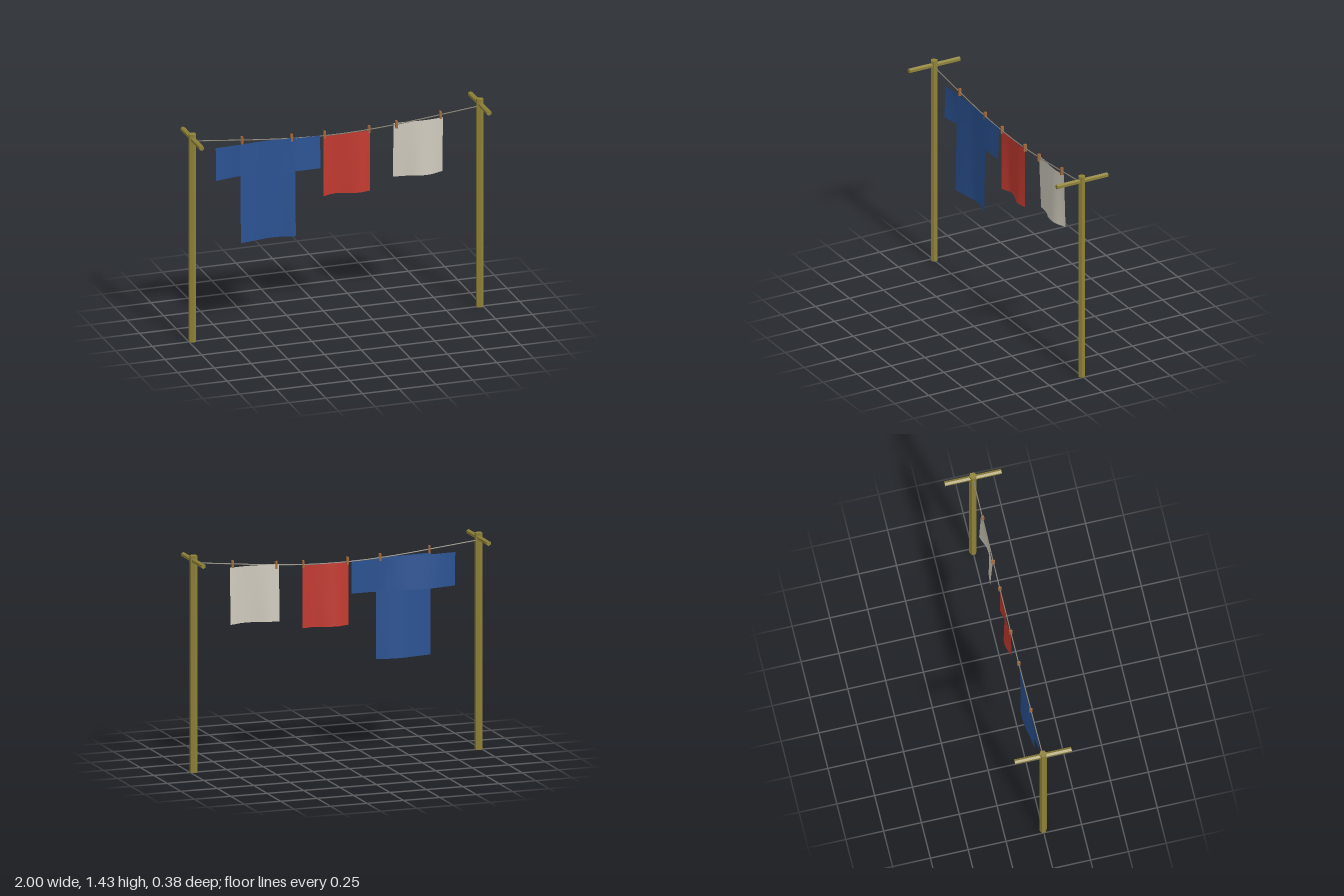
import * as THREE from 'three';

const mat = (color, extra = {}) => new THREE.MeshStandardMaterial({ color, ...extra });

function add(parent, name, geometry, material, x = 0, y = 0, z = 0) {
  const mesh = new THREE.Mesh(geometry, material);
  mesh.name = name;
  mesh.position.set(x, y, z);
  parent.add(mesh);
}

// Hanging sheet: a plane whose folds follow a row of z offsets and deepen downwards
function clothGeometry(x0, x1, y0, y1, folds) {
  const w = x1 - x0, h = y1 - y0;
  const curve = new THREE.SplineCurve(folds.map((z, i) => new THREE.Vector2(i, z)));
  const geo = new THREE.PlaneGeometry(w, h, 12, 8);
  const p = geo.attributes.position;
  for (let i = 0; i < p.count; i++) {
    const u = THREE.MathUtils.clamp(p.getX(i) / w + 0.5, 0, 1);
    const v = 0.5 - p.getY(i) / h;
    p.setZ(i, curve.getPoint(u).y * (0.35 + 0.65 * v));
  }
  geo.translate((x0 + x1) / 2, (y0 + y1) / 2, 0);
  geo.computeVertexNormals();
  return geo;
}

export function createModel() {
  const model = new THREE.Group();
  model.name = 'clothesline';

  const wood = mat(0x8f8238, { flatShading: true });
  const ropeMat = mat(0x8c8578);
  const pinMat = mat(0xa0683c);
  const cloth = (color) => mat(color, { side: THREE.DoubleSide });

  // Posts with crossbars
  for (const side of [-1, 1]) {
    const post = new THREE.Group();
    post.name = side > 0 ? 'leftPost' : 'rightPost';
    post.position.x = side * 0.978;
    add(post, 'pole', new THREE.CylinderGeometry(0.025, 0.025, 1.43, 6), wood, 0, 0.715);
    const bar = new THREE.CylinderGeometry(0.017, 0.017, 0.375, 6).rotateX(Math.PI / 2);
    add(post, 'crossbar', bar, wood, 0, 1.396);
    model.add(post);
  }

  // Sagging rope
  const ropePath = new THREE.CatmullRomCurve3(
    [[-0.978, 1.38], [-0.33, 1.317], [0, 1.305], [0.33, 1.317], [0.978, 1.38]]
      .map(([x, y]) => new THREE.Vector3(x, y, 0)));
  add(model, 'rope', new THREE.TubeGeometry(ropePath, 24, 0.004, 5), ropeMat);

  // Shirt: a wide sleeve sheet behind a long body sheet
  const shirt = new THREE.Group();
  shirt.name = 'shirt';
  const blue = cloth(0x2a5292);
  add(shirt, 'sleeves', clothGeometry(-0.82, -0.11, 1.09, 1.312,
    [0.012, -0.012, -0.025, -0.018, 0.005, 0.015, 0.013]), blue);
  add(shirt, 'body', clothGeometry(-0.655, -0.28, 0.645, 1.32,
    [0.018, 0.005, -0.012, -0.01, 0.015]), blue, 0, 0, 0.004);
  model.add(shirt);

  // Towel and pale cloth
  add(model, 'redTowel', clothGeometry(-0.085, 0.23, 0.89, 1.305,
    [0.002, -0.025, -0.01, 0.016, 0.003]), cloth(0xc23a30));
  add(model, 'paleCloth', clothGeometry(0.395, 0.73, 0.955, 1.33,
    [-0.024, -0.015, 0.012, 0.012, -0.018]), cloth(0xcfcabd));

  // Clothes pins
  const pinGeo = new THREE.BoxGeometry(0.012, 0.05, 0.02);
  const pins = [[-0.64, 1.344], [-0.302, 1.32], [-0.078, 1.313], [0.225, 1.313], [0.411, 1.323], [0.711, 1.352]];
  pins.forEach(([x, y], i) => add(model, `pin${i + 1}`, pinGeo, pinMat, x, y));

  return model;
}
